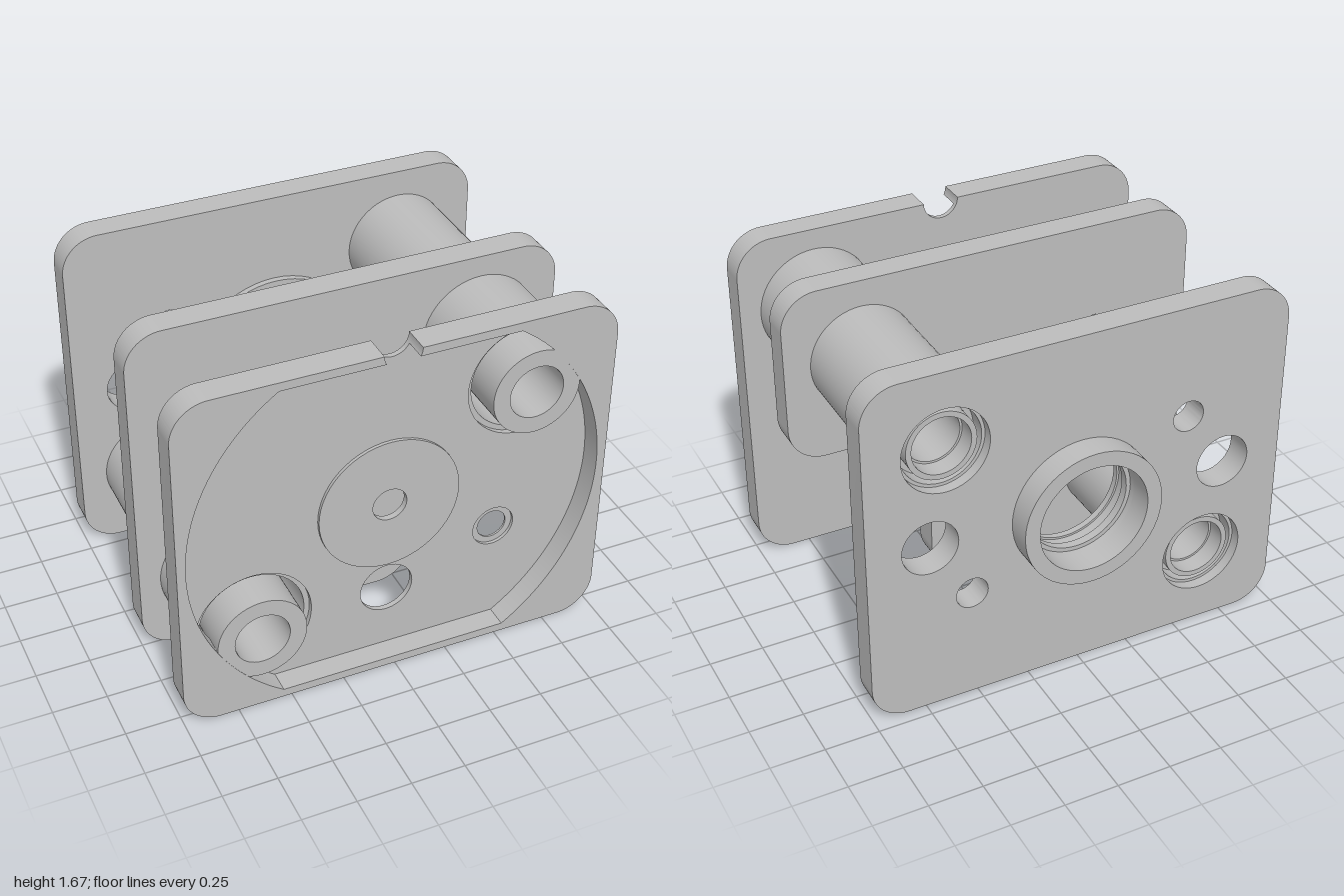
import * as THREE from 'three';
import { toCreasedNormals } from 'three/addons/utils/BufferGeometryUtils.js';

const CY = 0.835; // height of the plate centre
const TOP = 1.67;
const POSTS = [[0.63, 1.3], [-0.63, 0.37]];

export function createModel() {
  const model = new THREE.Group();
  model.name = 'threePlateFrame';
  const steel = new THREE.MeshStandardMaterial({ color: 0xbdbdbd });
  steel.name = 'grey steel';

  // Extrude a shape with round holes [x, y, r] between two z positions
  function plate(name, shape, z0, z1, holes = []) {
    for (const [x, y, r] of holes) {
      shape.holes.push(new THREE.Path().absarc(x, y, r, 0, Math.PI * 2, true));
    }
    const raw = new THREE.ExtrudeGeometry(shape, { depth: z1 - z0, bevelEnabled: false, curveSegments: 28 });
    raw.translate(0, 0, z0);
    const mesh = new THREE.Mesh(toCreasedNormals(raw, 0.5), steel);
    mesh.name = name;
    model.add(mesh);
    return mesh;
  }

  // Hollow cylinder along z
  function tube(name, x, y, outer, inner, z0, z1) {
    const disc = new THREE.Shape().absarc(x, y, outer, 0, Math.PI * 2, false);
    return plate(name, disc, z0, z1, [[x, y, inner]]);
  }

  // Rounded outline, anticlockwise from the top, optionally with a top notch
  const R = 0.17, N = 0.085, H = Math.PI / 2;
  function outline(notch) {
    const s = new THREE.Shape();
    s.moveTo(notch ? -N : 0, TOP);
    s.absarc(-1 + R, TOP - R, R, H, 2 * H, false);
    s.absarc(-1 + R, R, R, 2 * H, 3 * H, false);
    s.absarc(1 - R, R, R, 3 * H, 4 * H, false);
    s.absarc(1 - R, TOP - R, R, 0, H, false);
    if (notch) s.absarc(0, TOP, N, 0, -Math.PI, true);
    return s;
  }

  // Front plate: thin floor
  plate('frontPlateFloor', outline(true), 0.68, 0.705, [
    ...POSTS.map(([x, y]) => [x, y, 0.27]),
    [0, CY, 0.33], [0.52, 0.54, 0.1], [0, 0.36, 0.125],
  ]);

  // Front plate: raised rim round a circular recess, open at the notch
  const rim = new THREE.Shape();
  const cut = 0.795, rr = 0.96, a = Math.asin(cut / rr), n = Math.asin(0.04 / N);
  rim.moveTo(-N, TOP);
  rim.absarc(-1 + R, TOP - R, R, H, 2 * H, false);
  rim.absarc(-1 + R, R, R, 2 * H, 3 * H, false);
  rim.absarc(1 - R, R, R, 3 * H, 4 * H, false);
  rim.absarc(1 - R, TOP - R, R, 0, H, false);
  rim.absarc(0, TOP, N, 0, -n, true);
  rim.absarc(0, CY, rr, a, -a, true);
  rim.absarc(0, CY, rr, Math.PI + a, Math.PI - a, true);
  rim.absarc(0, TOP, N, -Math.PI + n, -Math.PI, true);
  plate('frontPlateRim', rim, 0.705, 0.81);

  // Central disc and the small bushing set in the front plate
  tube('frontDisc', 0, CY, 0.33, 0.08, 0.69, 0.72);
  tube('smallHoleBushing', 0.52, 0.54, 0.1, 0.07, 0.68, 0.69);

  // Middle plate with its lower left corner cut away
  const mid = new THREE.Shape();
  mid.moveTo(0, TOP);
  mid.absarc(-1 + R, TOP - R, R, H, 2 * H, false);
  mid.absarc(-1 + R, R, R, 2 * H, 3 * H, false);
  mid.absarc(0.33 - R, R, R, 3 * H, 4 * H, false);
  mid.absarc(0.33 + 0.27, 0.84 - 0.27, 0.27, 2 * H, H, true);
  mid.absarc(1 - R, 0.84 + R, R, 3 * H, 4 * H, false);
  mid.absarc(1 - R, TOP - R, R, 0, H, false);
  plate('middlePlate', mid, 0.145, 0.275, [
    ...POSTS.map(([x, y]) => [x, y, 0.125]),
    [0, CY, 0.085], [0, 0.36, 0.07], [-0.52, 1.13, 0.08],
  ]);

  // Back plate
  plate('backPlate', outline(false), -0.69, -0.56, [
    ...POSTS.map(([x, y]) => [x, y, 0.2]),
    [0, CY, 0.26],
    [0.71, 0.84, 0.13], [-0.71, 0.84, 0.13],
    [0.52, 0.54, 0.075], [-0.52, 1.13, 0.075],
  ]);

  // Bearing ring behind the back plate and its flange and lip in front
  tube('bearingRing', 0, CY, 0.33, 0.26, -0.81, -0.69);
  tube('bearingFlange', 0, CY, 0.415, 0.25, -0.56, -0.53);
  tube('bearingLip', 0, CY, 0.262, 0.24, -0.66, -0.62);

  // Two posts: outer sleeve, inner guide tube, rear spacer and rear bushing
  for (const [x, y] of POSTS) {
    tube('frontSleeve', x, y, 0.272, 0.245, 0.275, 0.68);
    tube('guideTube', x, y, 0.205, 0.127, 0.275, 0.808);
    tube('rearSpacer', x, y, 0.247, 0.125, -0.56, 0.145);
    tube('rearBushing', x, y, 0.16, 0.135, -0.65, -0.56);
    tube('rearCollar', x, y, 0.202, 0.185, -0.64, -0.56);
  }
  return model;
}
